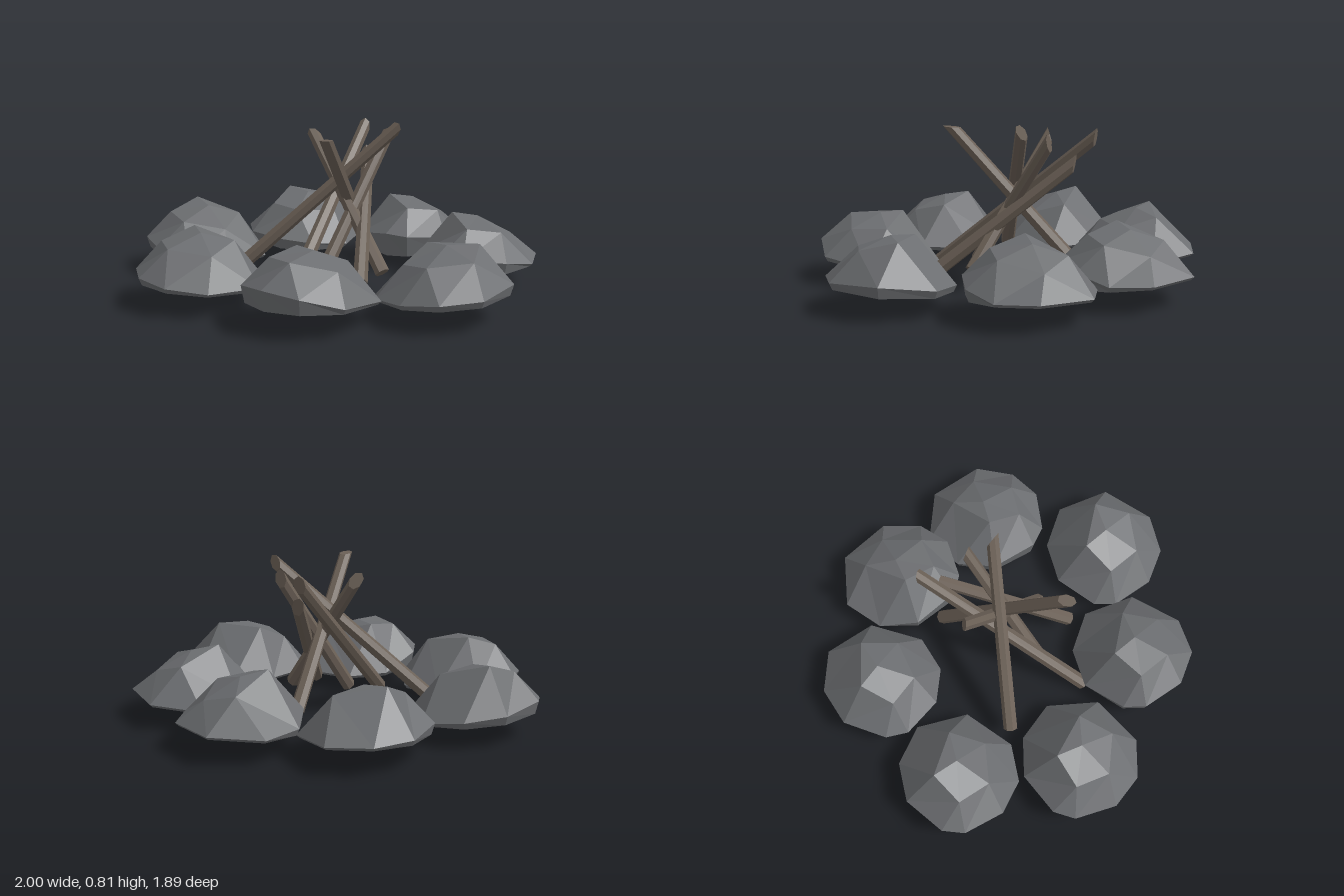
import * as THREE from 'three';

const stone = new THREE.MeshStandardMaterial({ color: 0x6c6e71, flatShading: true });
const wood = new THREE.MeshStandardMaterial({ color: 0x6b6056, flatShading: true });

// Stone shape: a nine-cornered rim [x, y, z] and a five-cornered crown
const RIM = [
  [-.06, .13, -.3], [.155, .12, -.288], [.308, .13, -.075], [.235, .12, .19], [.065, .13, .293],
  [-.118, .135, .275], [-.278, .125, .137], [-.308, .135, .027], [-.228, .125, -.19],
];
const CROWN = [[.14, .32, -.1], [.16, .27, .08], [-.03, .275, .17], [-.17, .275, .07], [-.1, .345, -.085]];

// out: direction away from the fire; the flat underside rises that way
function stoneGeometry(out, tiltX, tiltZ, spin) {
  const c = Math.cos(spin), s = Math.sin(spin);
  const underside = (x, z) => .1 + .08 * (x * out.x + z * out.y);
  // spin about the upright axis, then lean the upper part
  const place = ([x, y, z]) => {
    const px = x * c - z * s, pz = x * s + z * c;
    return new THREE.Vector3(px, Math.max(underside(px, pz) + .015, y + px * tiltX + pz * tiltZ), pz);
  };
  const rim = RIM.map(place), crown = CROWN.map(place);
  const base = rim.map((p) => new THREE.Vector3(p.x * .95, underside(p.x, p.z), p.z * .95));
  const top = place([.01, .34, -.01]), bottom = new THREE.Vector3(0, underside(0, 0), 0);
  const tris = [];
  for (let i = 0; i < 9; i++) {
    const n = (i + 1) % 9;
    const j = Math.floor(i * 5 / 9), k = Math.floor(n * 5 / 9);
    tris.push(bottom, base[i], base[n]);                              // flat underside
    tris.push(base[i], rim[i], rim[n], base[i], rim[n], base[n]);     // lower edge
    tris.push(rim[i], crown[j], rim[n]);                              // sloping sides
    if (j !== k) tris.push(crown[j], crown[k], rim[n], crown[j], top, crown[k]);
  }
  const g = new THREE.BufferGeometry().setFromPoints(tris);
  g.computeVertexNormals();
  return g;
}

// Stick between two points, with a chiselled upper end
function stick(from, to) {
  const a = new THREE.Vector3(...from), b = new THREE.Vector3(...to);
  const dir = b.clone().sub(a), len = dir.length();
  const g = new THREE.CylinderGeometry(.031, .036, len, 7);
  const p = g.attributes.position;
  for (let i = 0; i < p.count; i++) {
    if (p.getY(i) > 0) p.setY(i, p.getY(i) + p.getZ(i) * 1.1);
  }
  g.computeVertexNormals();
  const m = new THREE.Mesh(g, wood);
  m.position.copy(a).add(b).multiplyScalar(.5);
  m.quaternion.setFromUnitVectors(new THREE.Vector3(0, 1, 0), dir.normalize());
  return m;
}

export function createModel() {
  const model = new THREE.Group();
  model.name = 'campfire';

  // Ring of stones: x, z, lean in x, lean in z, spin in degrees
  const stones = new THREE.Group();
  stones.name = 'stoneRing';
  [
    [-.335, -.545, -.08, 0, -16],
    [.25, -.635, 0, .2, -75],
    [.69, -.295, -.05, .18, -65],
    [.695, .36, .14, .02, 0],
    [.165, .645, -.1, .25, 0],
    [-.45, .53, -.08, .04, 16],
    [-.69, -.03, -.17, 0, 4],
  ].forEach(([x, z, tx, tz, deg], i) => {
    const out = new THREE.Vector2(x, z).normalize();
    const m = new THREE.Mesh(stoneGeometry(out, tx, tz, THREE.MathUtils.degToRad(deg)), stone);
    m.position.set(x, 0, z);
    m.name = `stone${i + 1}`;
    stones.add(m);
  });

  // Leaning firewood: lower end, upper end
  const sticks = new THREE.Group();
  sticks.name = 'firewood';
  [
    [[-.03, .03, .44], [.04, .735, -.43]],
    [[-.39, .11, .15], [.30, .775, -.14]],
    [[.09, .11, -.36], [.10, .77, .28]],
    [[.04, .10, .17], [.22, .72, -.25]],
    [[.32, .11, .10], [-.13, .72, -.155]],
    [[.27, .10, .28], [.09, .61, -.34]],
  ].forEach(([a, b], i) => {
    const m = stick(a, b);
    m.name = `stick${i + 1}`;
    sticks.add(m);
  });

  model.add(stones, sticks);
  return model;
}
